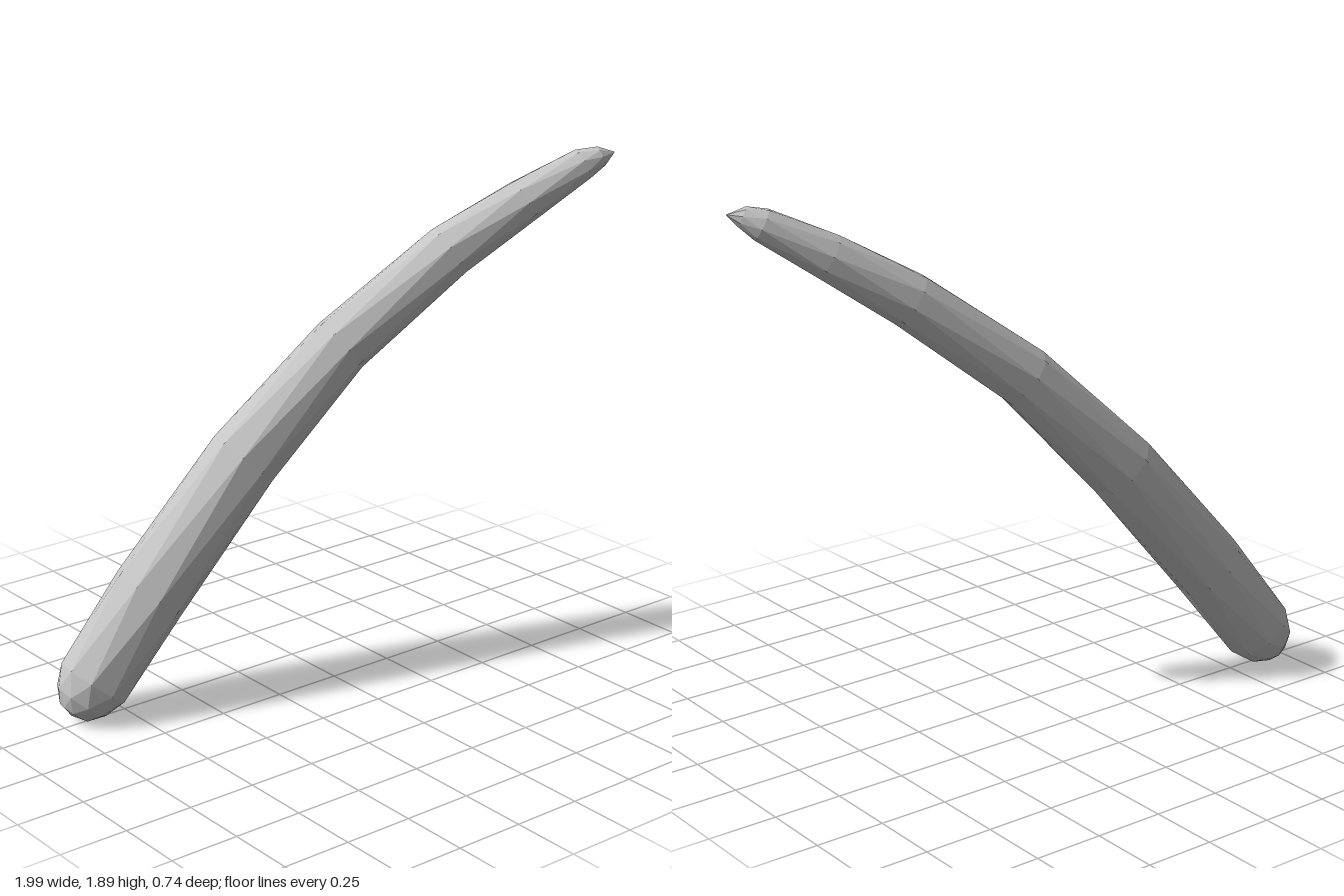
import * as THREE from 'three';

const SIDES = 9;

// Cross-sections from the blunt base to the narrow tip: x, y, z, radius
const SECTIONS = [
  [-0.946, 0.03, -0.272, 0.058],
  [-0.917, 0.067, -0.267, 0.103],
  [-0.87, 0.13, -0.258, 0.131],
  [-0.65, 0.42, -0.22, 0.138],
  [-0.29, 0.86, -0.145, 0.13],
  [0.065, 1.23, -0.045, 0.11],
  [0.44, 1.535, 0.095, 0.098],
  [0.695, 1.70, 0.20, 0.081],
  [0.89, 1.82, 0.295, 0.058],
  [0.945, 1.848, 0.328, 0.037],
];
const BASE_POLE = [-0.955, 0.019, -0.273];
const TIP_POLE = [0.995, 1.858, 0.345];

// Faceted skin: rings staggered by half a step, closed by a fan at each end
function createSkin() {
  const centres = SECTIONS.map(([x, y, z]) => new THREE.Vector3(x, y, z));
  const last = centres.length - 1;
  const positions = [];
  const index = [];

  centres.forEach((centre, i) => {
    const along = centres[Math.min(i + 1, last)].clone()
      .sub(centres[Math.max(i - 1, 0)]).normalize();
    const u = new THREE.Vector3(0, 0, 1);
    u.addScaledVector(along, -u.dot(along)).normalize();
    const v = new THREE.Vector3().crossVectors(along, u);
    for (let j = 0; j < SIDES; j++) {
      const angle = (j + (i % 2) / 2) / SIDES * Math.PI * 2;
      const p = centre.clone()
        .addScaledVector(u, Math.cos(angle) * SECTIONS[i][3])
        .addScaledVector(v, Math.sin(angle) * SECTIONS[i][3]);
      positions.push(p.x, p.y, p.z);
    }
  });
  positions.push(...BASE_POLE, ...TIP_POLE);

  const at = (i, j) => i * SIDES + (j % SIDES);
  const basePole = (last + 1) * SIDES;
  for (let j = 0; j < SIDES; j++) {
    for (let i = 0; i < last; i++) {
      const a = at(i, j), b = at(i, j + 1), c = at(i + 1, j + 1), d = at(i + 1, j);
      if (i % 2 === 0) index.push(a, b, d, d, b, c);
      else index.push(a, b, c, a, c, d);
    }
    index.push(basePole, at(0, j + 1), at(0, j));
    index.push(basePole + 1, at(last, j), at(last, j + 1));
  }

  const indexed = new THREE.BufferGeometry();
  indexed.setAttribute('position', new THREE.Float32BufferAttribute(positions, 3));
  indexed.setIndex(index);
  const geometry = indexed.toNonIndexed();
  geometry.computeVertexNormals();
  return geometry;
}

export function createModel() {
  const grey = new THREE.MeshStandardMaterial({ color: 0xc4c4c4 });
  grey.name = 'light grey';
  grey.flatShading = true;

  const group = new THREE.Group();
  group.name = 'curvedTusk';
  const tusk = new THREE.Mesh(createSkin(), grey);
  tusk.name = 'taperedBody';
  group.add(tusk);
  return group;
}
